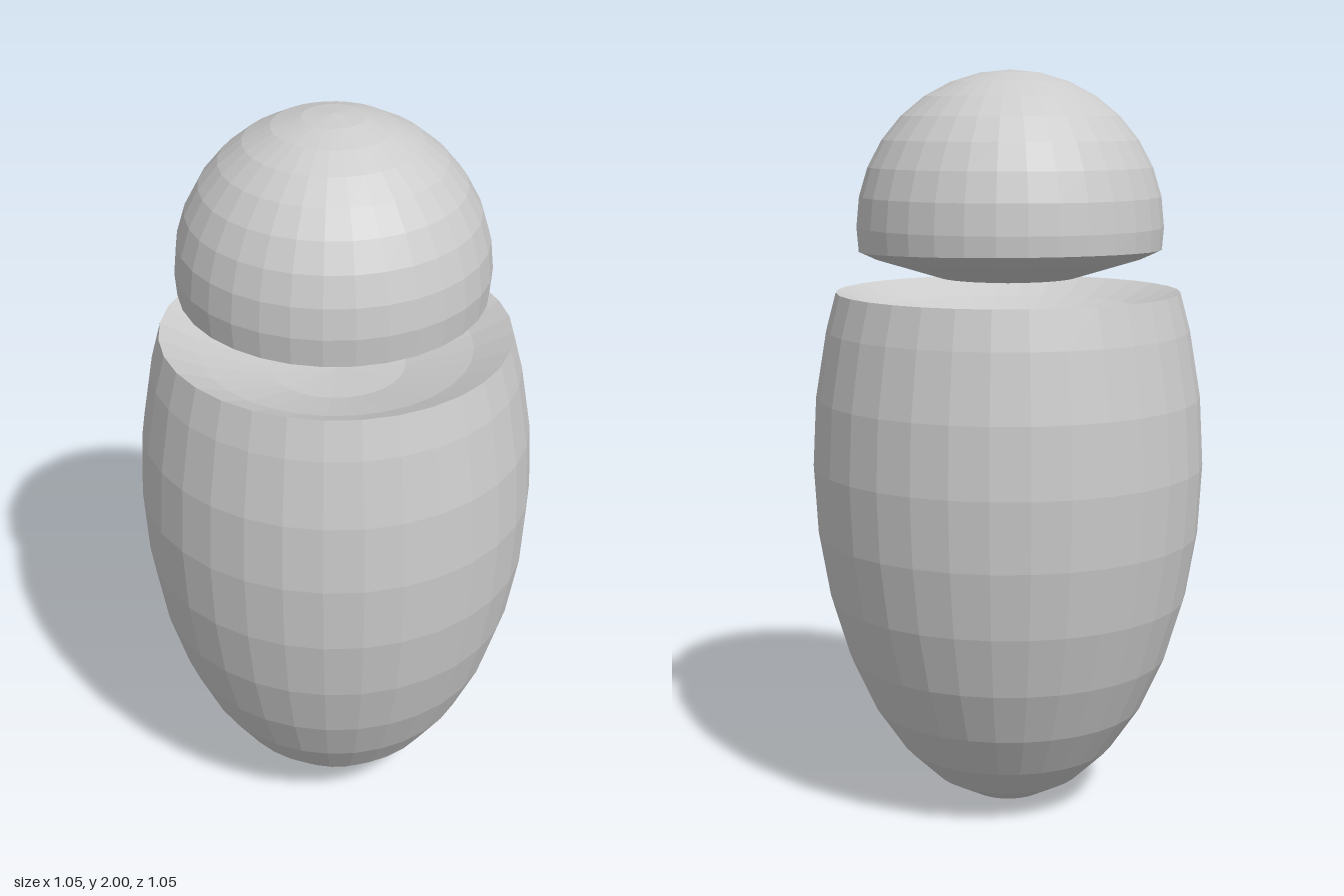
import * as THREE from 'three';

const SEGMENTS = 32;
const STEP = Math.PI / 16;
const BOWL_RADIUS = 0.94;

// One horizontal ring of points; y may be a number or a rule of (x, z).
function ring(radius, y, cx = 0, cz = 0) {
  return Array.from({ length: SEGMENTS }, (_, i) => {
    const a = (i / SEGMENTS) * Math.PI * 2;
    const x = cx + radius * Math.sin(a);
    const z = cz + radius * Math.cos(a);
    return new THREE.Vector3(x, y, z);
  });
}

// Faceted skin through rings ordered so that the outside faces outward.
function loft(name, rings) {
  const points = [];
  const tri = (a, b, c) => {
    const area = b.clone().sub(a).cross(c.clone().sub(a)).length();
    if (area > 1e-8) for (const p of [a, b, c]) points.push(p.x, p.y, p.z);
  };
  for (let r = 0; r < rings.length - 1; r++) {
    for (let i = 0; i < SEGMENTS; i++) {
      const j = (i + 1) % SEGMENTS;
      const [a, b, c, d] = [rings[r][i], rings[r][j], rings[r + 1][j], rings[r + 1][i]];
      tri(a, b, c);
      tri(a, c, d);
    }
  }
  const geometry = new THREE.BufferGeometry();
  geometry.setAttribute('position', new THREE.Float32BufferAttribute(points, 3));
  geometry.computeVertexNormals();
  const material = new THREE.MeshStandardMaterial({ color: 0xcccccc, flatShading: true });
  const mesh = new THREE.Mesh(geometry, material);
  mesh.name = name;
  return mesh;
}

// Shallow spherical rings, from the pole outward, with the pole at height y.
const dishRings = (y) => [0, 1, 2].map((k) =>
  ring(BOWL_RADIUS * Math.sin(k * STEP), y + BOWL_RADIUS * (1 - Math.cos(k * STEP))));

// Egg-shaped body, cut off at the top with a shallow bowl sunk into it.
function createBody() {
  const rings = [];
  for (let k = 0; k <= 10; k++) {
    rings.push(ring(0.527 * Math.sin(k * STEP), 0.955 - 0.95 * Math.cos(k * STEP)));
  }
  rings.push(ring(0.46, 1.42));
  rings.push(...dishRings(1.3).reverse());
  return loft('body', rings);
}

// Floating ball head, set slightly back, with a rounded underside that
// follows the same curve as the bowl below it.
function createHead() {
  const radius = 0.406, cx = -0.003, cy = 1.594, cz = -0.024, bottom = 1.44;
  const rim = ring(radius, cy, cx, cz);
  for (const p of rim) {
    const dx = p.x - cx, dz = p.z - cz;
    // Settle each rim point where ball and underside meet.
    for (let n = 0; n < 8; n++) {
      p.y = bottom + BOWL_RADIUS - Math.sqrt(BOWL_RADIUS ** 2 - p.x ** 2 - p.z ** 2);
      const s = Math.sqrt(radius ** 2 - (p.y - cy) ** 2) / radius;
      p.x = cx + dx * s;
      p.z = cz + dz * s;
    }
  }
  const rings = [...dishRings(bottom), rim];
  for (let k = 8; k >= 0; k--) {
    rings.push(ring(radius * Math.sin(k * STEP), cy + radius * Math.cos(k * STEP), cx, cz));
  }
  return loft('head', rings);
}

export function createModel() {
  const model = new THREE.Group();
  model.name = 'figure';
  model.add(createBody(), createHead());
  return model;
}
